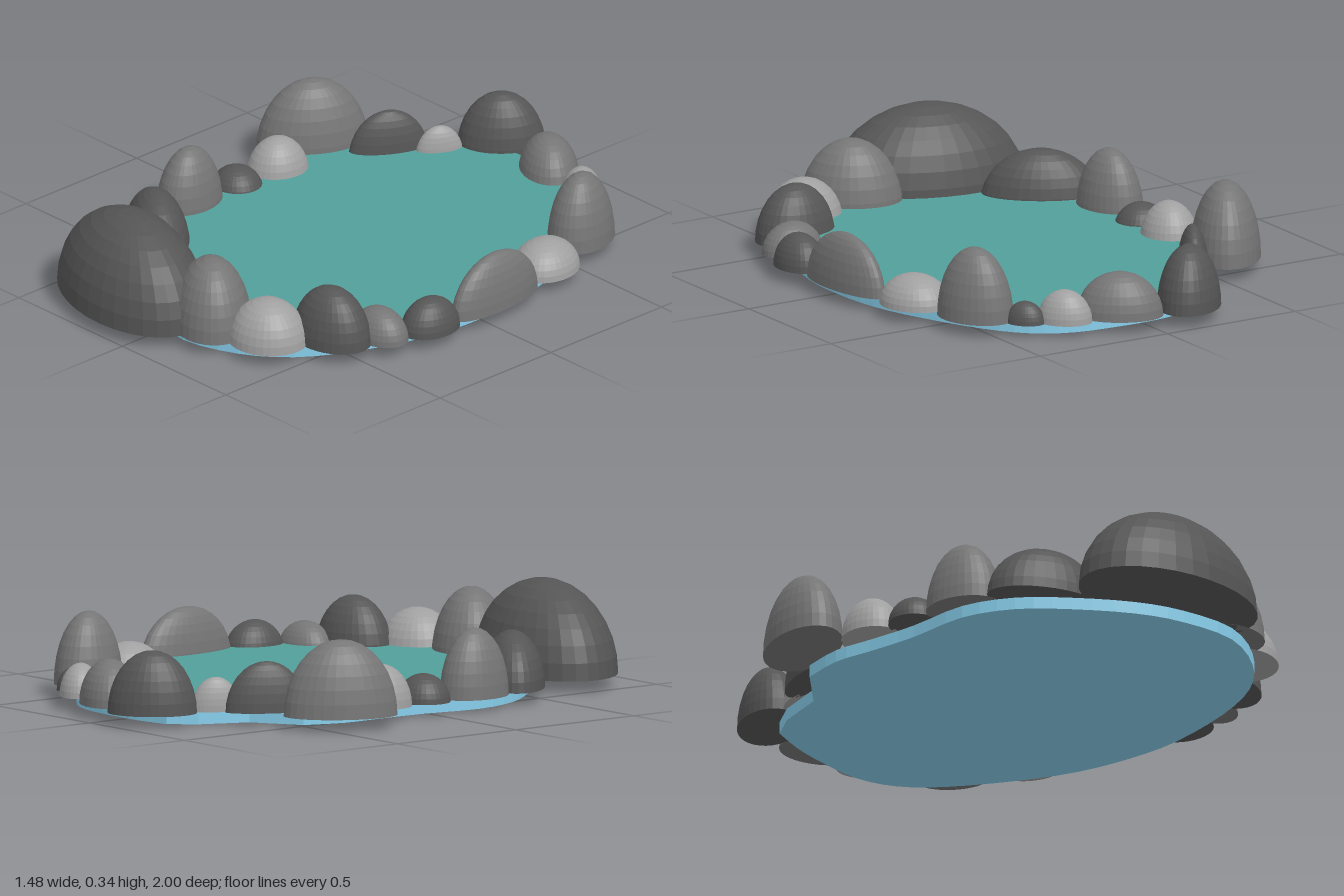
import * as THREE from 'three';

const BASE = 0.042; // thickness of the pond basin; the stones rest on its top
const WATER = 0.073; // water level, lapping against the stones

const material = (color) => new THREE.MeshStandardMaterial({ color, flatShading: true });
const DARK = material(0x555555);
const MID = material(0x757575);
const LIGHT = material(0xa0a0a0);

// Unit dome with a closed flat underside
function domeGeometry() {
  const profile = [new THREE.Vector2(0, 0)];
  for (let i = 0; i <= 8; i++) {
    const t = (i / 8) * Math.PI / 2;
    profile.push(new THREE.Vector2(i === 8 ? 0 : Math.cos(t), Math.sin(t)));
  }
  return new THREE.LatheGeometry(profile, 32);
}

// Stones clockwise from the back: x, z, half length, half width, turn in degrees, top height, shade
const STONES = [
  [-0.168, -0.87, 0.148, 0.105, -48, 0.25, DARK],
  [0.088, -0.845, 0.144, 0.1, 33, 0.19, MID],
  [0.282, -0.812, 0.092, 0.07, 45, 0.15, LIGHT],
  [0.40, -0.755, 0.066, 0.049, 50, 0.115, DARK],
  [0.50, -0.605, 0.138, 0.104, 70, 0.28, MID],
  [0.583, -0.367, 0.127, 0.109, 75, 0.145, LIGHT],
  [0.66, -0.065, 0.197, 0.066, 86, 0.225, MID],
  [0.657, 0.223, 0.108, 0.081, 95, 0.155, DARK],
  [0.584, 0.382, 0.109, 0.081, 0, 0.145, MID],
  [0.49, 0.512, 0.145, 0.109, -6, 0.23, DARK],
  [0.354, 0.672, 0.136, 0.125, -15, 0.19, LIGHT],
  [0.135, 0.723, 0.172, 0.132, 35, 0.28, MID],
  [-0.192, 0.773, 0.342, 0.214, 14, 0.34, DARK],
  [-0.43, 0.443, 0.2, 0.107, 33, 0.225, DARK],
  [-0.54, 0.193, 0.132, 0.097, 82, 0.27, MID],
  [-0.53, -0.013, 0.092, 0.088, 0, 0.135, DARK],
  [-0.525, -0.193, 0.109, 0.097, 100, 0.183, LIGHT],
  [-0.60, -0.42, 0.19, 0.117, -60, 0.295, MID],
  [-0.382, -0.56, 0.136, 0.053, -61, 0.21, DARK],
  [-0.265, -0.68, 0.082, 0.039, -62, 0.155, LIGHT],
];

// Shoreline as x, z pairs: a smooth run, closed by a notch at the back left
const SHORE = [
  [-0.48, -0.48], [-0.525, -0.34], [-0.525, -0.2], [-0.53, -0.02], [-0.56, 0.2],
  [-0.51, 0.38], [-0.4, 0.53], [-0.25, 0.68], [-0.1, 0.77], [0.1, 0.82], [0.3, 0.76],
  [0.45, 0.64], [0.56, 0.45], [0.64, 0.2], [0.657, 0], [0.64, -0.2], [0.58, -0.4],
  [0.48, -0.62], [0.38, -0.75], [0.25, -0.82], [0.08, -0.84], [-0.05, -0.84], [-0.18, -0.82],
];
const NOTCH = [[-0.25, -0.74], [-0.32, -0.58]];

function shoreShape() {
  const toPoints = (pairs) => pairs.map(([x, z]) => new THREE.Vector2(x, -z));
  const smooth = new THREE.SplineCurve(toPoints(SHORE)).getPoints(66);
  return new THREE.Shape([...smooth, ...toPoints(NOTCH)]);
}

export function createModel() {
  const group = new THREE.Group();
  group.name = 'pond';

  // Basin and the teal water sheet above it
  const shape = shoreShape();
  const basin = new THREE.Mesh(
    new THREE.ExtrudeGeometry(shape, { depth: BASE, bevelEnabled: false }).rotateX(-Math.PI / 2),
    material(0x87ceeb));
  basin.name = 'pondBasin';
  const surface = new THREE.Mesh(
    new THREE.ShapeGeometry(shape).rotateX(-Math.PI / 2), material(0x539f9b));
  surface.name = 'waterSurface';
  surface.position.y = WATER;
  group.add(basin, surface);

  // Ring of stones
  const dome = domeGeometry();
  const ring = new THREE.Group();
  ring.name = 'stoneRing';
  STONES.forEach(([x, z, length, width, turn, top, shade], i) => {
    const stone = new THREE.Mesh(dome, shade);
    stone.name = `stone${i + 1}`;
    stone.position.set(x, BASE, z);
    stone.scale.set(length, top - BASE, width);
    stone.rotation.y = -THREE.MathUtils.degToRad(turn);
    ring.add(stone);
  });
  group.add(ring);
  return group;
}
